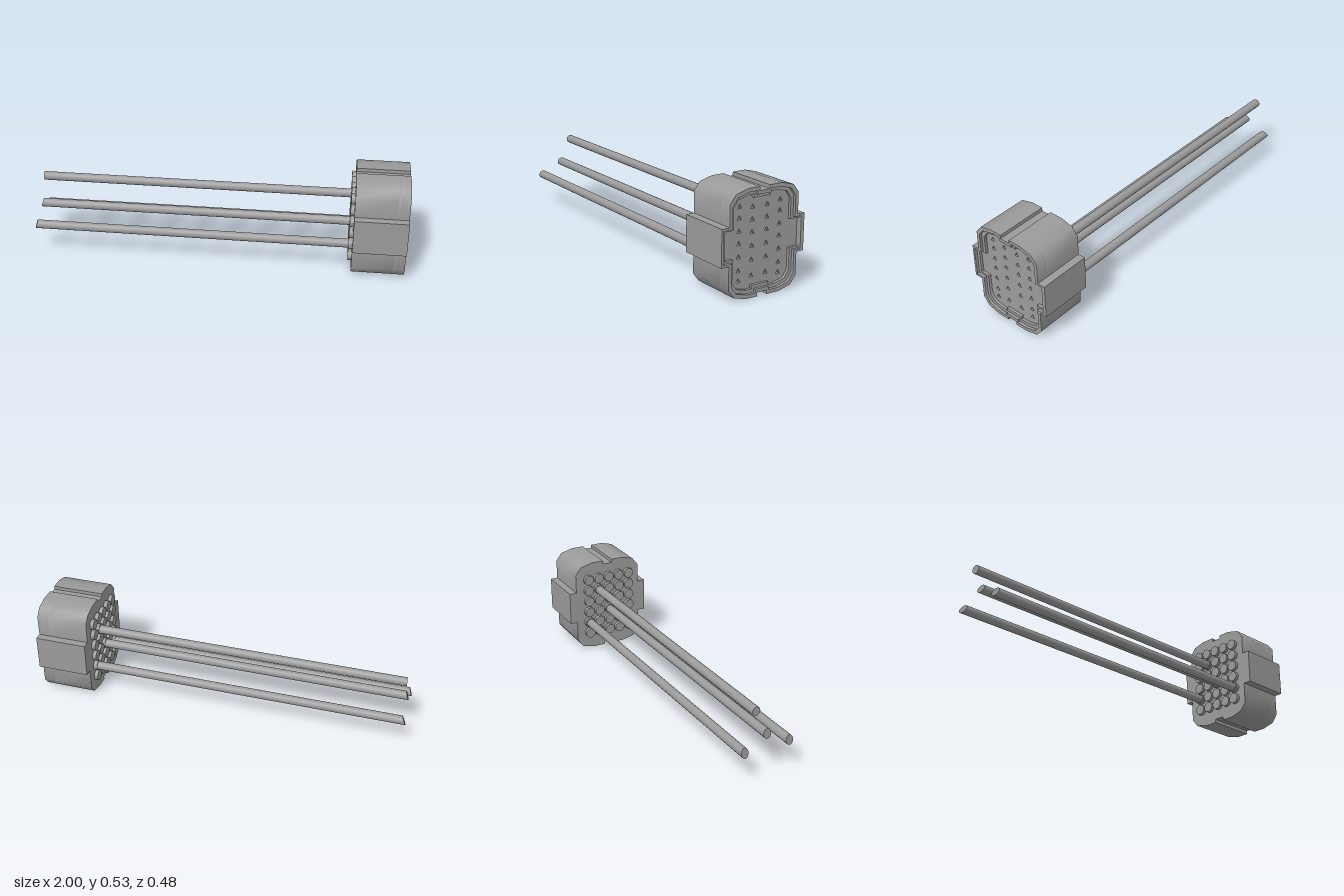
import * as THREE from 'three';
import { toCreasedNormals } from 'three/addons/utils/BufferGeometryUtils.js';

const MID_Y = 0.2665; // mid-height of the housing
const material = new THREE.MeshStandardMaterial({ color: 0x9b9b9b });

function addMesh(parent, name, geometry) {
  const mesh = new THREE.Mesh(geometry, material);
  mesh.name = name;
  parent.add(mesh);
  return mesh;
}

// Housing outline shrunk by d: chamfered corners, key slots at top and bottom,
// side tabs reaching to leftZ on the +z side and rightZ on the -z side
function outline(d, leftZ, rightZ) {
  const slotShift = 0.003;
  const tabShift = 0.004;
  const tabHalf = 0.0935 - 0.7 * d;
  // Quarter walked from tab to slot; sx, sy mirror it into each corner
  const quarter = (sx, sy) => {
    const tabY = sy * tabHalf + tabShift;
    const slotX = sx * (0.028 + 0.65 * d) - slotShift;
    return [
      [sx > 0 ? rightZ : -leftZ, tabY],
      [sx * (0.2 - d), tabY],
      [sx * (0.2 - d), sy * (0.206 - 0.8 * d)],
      [sx * (0.167 - 0.75 * d), sy * (0.2485 - d)],
      [sx * (0.098 - 0.45 * d), sy * (0.2665 - 1.1 * d)],
      [slotX, sy * (0.2665 - 1.1 * d)],
      [slotX, sy * (0.2475 - 1.05 * d)],
    ];
  };
  return [
    ...quarter(1, 1),
    ...quarter(-1, 1).reverse(),
    ...quarter(-1, -1),
    ...quarter(1, -1).reverse(),
  ].map(([x, y]) => new THREE.Vector2(x, y + MID_Y));
}

// Slab of the housing between x0 and x1, smooth round its corners
function slab(x0, x1, holes = []) {
  const shape = new THREE.Shape(outline(0, 0.243, 0.241));
  for (const points of holes) shape.holes.push(new THREE.Path(points));
  const geometry = new THREE.ExtrudeGeometry(shape, { depth: x1 - x0, bevelEnabled: false });
  geometry.rotateY(Math.PI / 2).translate(x0, 0, 0);
  return toCreasedNormals(geometry, 0.8);
}

// Triangular contact openings: outer columns of seven, inner columns of six
function contactHoles() {
  const outerRows = [0.445, 0.391, 0.327, 0.268, 0.203, 0.135, 0.085];
  const innerRows = [0.434, 0.373, 0.312, 0.246, 0.178, 0.1];
  const holes = [];
  for (const [z, rows] of [[0.123, outerRows], [0.047, innerRows], [-0.038, innerRows], [-0.114, outerRows]]) {
    for (const y of rows) {
      holes.push([[-0.0125, -0.01], [0.0125, -0.01], [0, 0.012]]
        .map(([dx, dy]) => new THREE.Vector2(-z + dx, y + dy)));
    }
  }
  return holes;
}

// Cylinder along x from x0 to x1
function rod(radius, x0, x1, sides) {
  return new THREE.CylinderGeometry(radius, radius, x1 - x0, sides)
    .rotateZ(-Math.PI / 2).translate((x0 + x1) / 2, 0, 0);
}

export function createModel() {
  const model = new THREE.Group();
  model.name = 'wiredConnector';

  // Housing: solid rear, pierced contact face, shallow stepped rim
  const housing = new THREE.Group();
  housing.name = 'housing';
  model.add(housing);
  addMesh(housing, 'rearBlock', slab(0.72, 0.94));
  addMesh(housing, 'contactFace', slab(0.94, 0.97, contactHoles()));
  addMesh(housing, 'innerLedge', slab(0.97, 0.985, [outline(0.033, 0.215, 0.222)]));
  addMesh(housing, 'outerRim', slab(0.985, 1.0, [outline(0.017, 0.232, 0.222)]));

  // Round wire seals on the rear face
  const seals = new THREE.Group();
  seals.name = 'wireSeals';
  model.add(seals);
  const sealGeometry = rod(0.029, 0.70, 0.73, 16);
  for (let row = 0; row < 6; row++) {
    for (let col = -2; col <= 2; col++) {
      addMesh(seals, 'wireSeal', sealGeometry).position.set(0, 0.1 + row * 0.067, 0.004 + col * 0.064);
    }
  }

  // Wires with slanted cut ends: y, z, end x, slant over y, slant over z
  const wires = [
    [0.366, -0.061, -0.975, 0, 0.1],
    [0.233, 0.003, -0.98, 0.3, 0.15],
    [0.167, -0.124, -0.988, 0.4, 0.25],
    [0.167, 0.129, -0.985, 0.3, 0.2],
  ];
  for (const [y, z, end, slantY, slantZ] of wires) {
    const geometry = rod(0.0235, end, 0.73, 16);
    const p = geometry.attributes.position;
    for (let i = 0; i < p.count; i++) {
      if (p.getX(i) < 0) p.setX(i, p.getX(i) + slantY * p.getY(i) + slantZ * p.getZ(i));
    }
    addMesh(model, 'wire', geometry).position.set(0, y, z);
  }
  return model;
}
